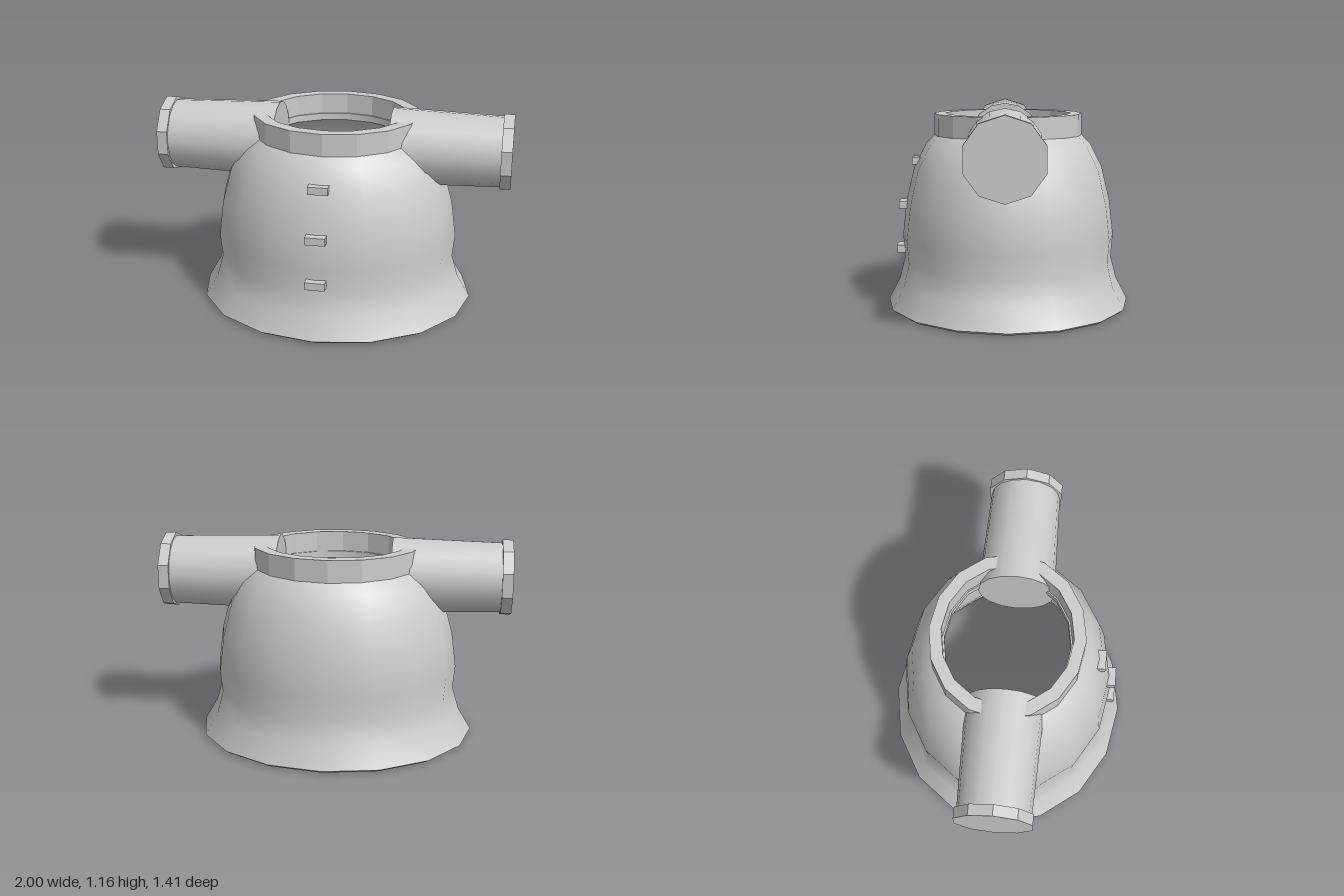
import * as THREE from 'three';
import { toCreasedNormals } from 'three/addons/utils/BufferGeometryUtils.js';

// Closed profile (outer side up, inner side down) turned into an oval ring
function ovalLathe(profile, stretchX, crease) {
  const points = [...profile, profile[0]].map(([r, y]) => new THREE.Vector2(r, y));
  const geometry = new THREE.LatheGeometry(points, 16);
  geometry.scale(stretchX, 1, 1);
  return toCreasedNormals(geometry, crease);
}

function addMesh(parent, name, geometry, material) {
  const mesh = new THREE.Mesh(geometry, material);
  mesh.name = name;
  parent.add(mesh);
  return mesh;
}

export function createModel() {
  const model = new THREE.Group();
  model.name = 'shellWithArms';
  const grey = new THREE.MeshStandardMaterial({ color: 0xcccccc });
  grey.name = 'light grey';

  // Hollow bell-shaped body with a flared hem
  addMesh(model, 'body', ovalLathe([
    [0.685, 0], [0.705, 0.015], [0.64, 0.14], [0.607, 0.27], [0.618, 0.4],
    [0.595, 0.6], [0.547, 0.8], [0.478, 0.935], [0.42, 0.995],
    [0.35, 0.995], [0.35, 0.955], [0.43, 0.9], [0.505, 0.78], [0.552, 0.6],
    [0.573, 0.4], [0.562, 0.27], [0.6, 0.14], [0.66, 0.01],
  ], 1.135, 0.75), grey);

  // Faceted collar round the neck opening
  addMesh(model, 'collar', ovalLathe([
    [0.427, 0.985], [0.427, 1.113], [0.36, 1.113], [0.36, 0.985],
  ], 1.12, 0.1), grey);

  // Arms: round sleeve, slightly wider at the neck, with a ten-sided end cuff
  for (const [side, turn] of [['left', 0], ['right', Math.PI]]) {
    const arm = new THREE.Group();
    arm.name = side + 'Arm';
    arm.position.set(0, 0.938, 0.018);
    arm.rotation.y = turn;

    const sleeve = new THREE.CylinderGeometry(0.199, 0.217, 0.63, 16);
    sleeve.rotateZ(-Math.PI / 2);
    addMesh(arm, side + 'Sleeve', sleeve, grey).position.x = 0.64;

    const cuff = new THREE.CylinderGeometry(0.218, 0.218, 0.06, 10, 1, false, Math.PI / 2);
    cuff.rotateZ(-Math.PI / 2);
    addMesh(arm, side + 'Cuff', toCreasedNormals(cuff, 0.1), grey).position.x = 0.97;

    model.add(arm);
  }

  // Buttons down the front
  for (const [y, front] of [[0.838, 0.555], [0.58, 0.634], [0.322, 0.651]]) {
    const button = addMesh(model, 'button', new THREE.BoxGeometry(0.112, 0.043, 0.06), grey);
    button.position.set(-0.002, y, front - 0.03);
  }

  return model;
}
